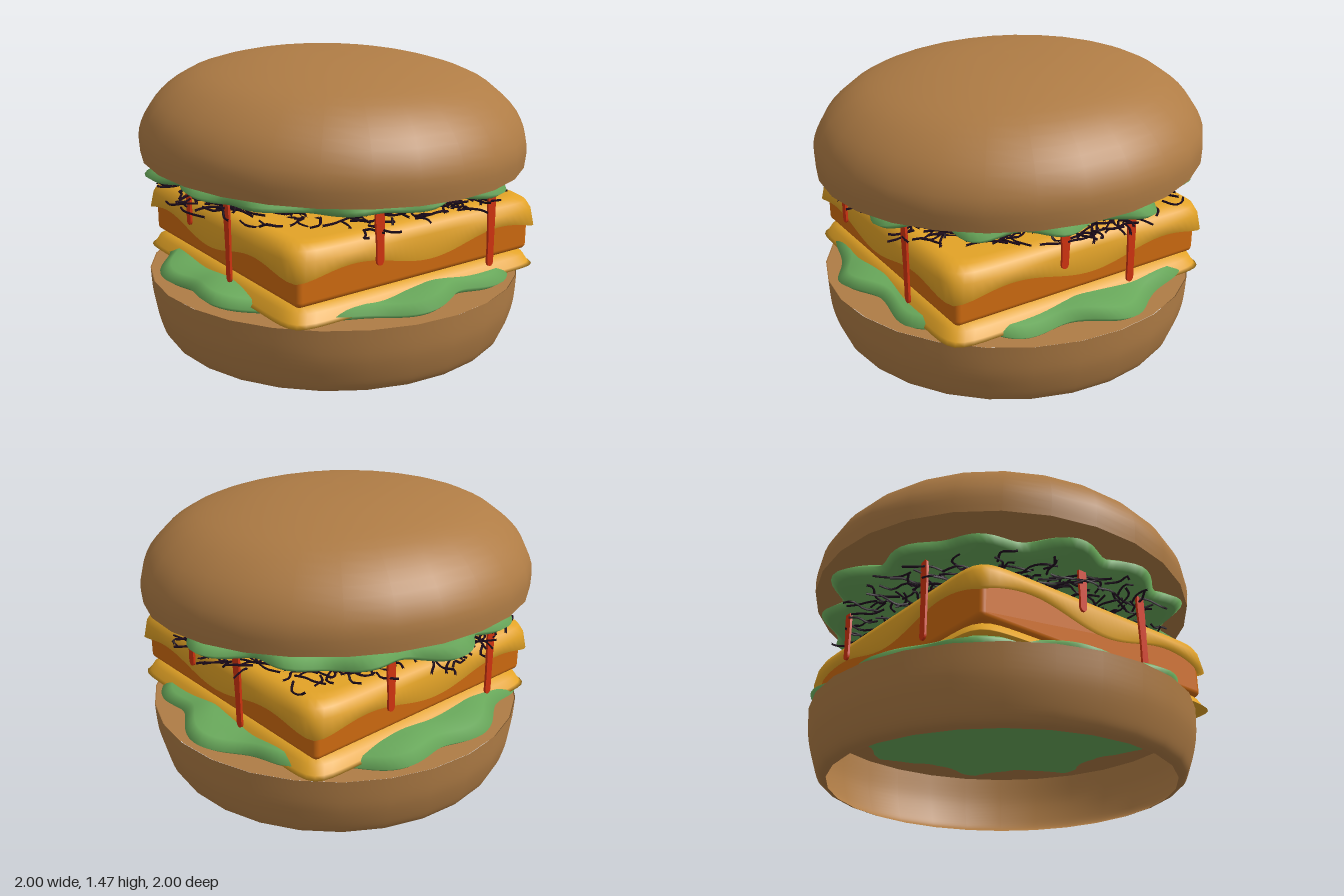
import * as THREE from 'three';
import { RoundedBoxGeometry } from 'three/addons/geometries/RoundedBoxGeometry.js';

const mat = (name, color, side = THREE.FrontSide) => {
  const m = new THREE.MeshStandardMaterial({ color, side });
  m.name = name;
  return m;
};

// Skin of closed loops running from the top centre outward and down.
function loft(rows, n, point) {
  const pos = [], index = [];
  for (let i = 0; i < rows; i++) {
    for (let j = 0; j < n; j++) pos.push(...point(i, (j / n) * Math.PI * 2));
  }
  for (let i = 0; i < rows - 1; i++) {
    for (let j = 0; j < n; j++) {
      const a = i * n + j, b = i * n + (j + 1) % n;
      index.push(a, b, a + n, b, b + n, a + n);
    }
  }
  const g = new THREE.BufferGeometry();
  g.setAttribute('position', new THREE.Float32BufferAttribute(pos, 3));
  g.setIndex(index);
  g.computeVertexNormals();
  return g;
}

// Ruffled leaf: [fraction of outline radius, height, share of the edge wave]
function lettuceGeometry(amp, lobes, phase) {
  const rows = [[0.01, 0.05, 0], [0.6, 0.05, 0], [0.82, 0.045, 0.6], [0.94, 0.035, 1], [1, 0, 1],
    [0.96, -0.03, 0.8], [0.88, -0.042, 0.2], [0.6, -0.05, 0], [0.01, -0.05, 0]];
  return loft(rows.length, 160, (i, t) => {
    const [f, y, w] = rows[i];
    const wave = Math.cos(lobes * t + phase) + 0.5 * Math.cos((lobes - 5) * t + 1);
    const r = f * (0.92 + amp * wave * Math.min(1, w + 0.3));
    return [r * Math.cos(t), y + w * 0.014 * Math.sin((lobes - 2) * t + phase), r * Math.sin(t)];
  });
}

// Square slice folded over its edges, with a waved hem
function cheeseGeometry(top, hem, wave) {
  const rows = [[0.01, top], [0.66, top], [0.7, top - 0.006], [0.735, top - 0.03], [0.755, top - 0.07],
    [0.77, null], [0.74, null], [0.725, top - 0.06], [0.68, top - 0.03], [0.01, top - 0.03]];
  return loft(rows.length, 160, (i, t) => {
    const [s, y] = rows[i], c = Math.cos(t), d = Math.sin(t);
    const r = s / Math.pow(Math.abs(c) ** 14 + Math.abs(d) ** 14, 1 / 14);
    const x = r * c, z = r * d;
    const u = Math.min(Math.abs(x), Math.abs(z));
    const edge = hem - wave * Math.cos(7 * u);
    return [x, y === null ? edge : Math.max(y, edge), z];
  });
}

// Flat drip hanging down from y = 0, with a rounded, heavier end
function dripGeometry(length) {
  const s = new THREE.Shape();
  s.moveTo(-0.022, 0);
  s.bezierCurveTo(-0.03, -0.08, -0.012, -length * 0.5, -0.02, -length + 0.03);
  s.quadraticCurveTo(-0.02, -length, 0, -length);
  s.quadraticCurveTo(0.02, -length, 0.02, -length + 0.03);
  s.bezierCurveTo(0.02, -length * 0.5, 0.03, -0.08, 0.022, 0);
  s.quadraticCurveTo(0, 0.03, -0.022, 0);
  return new THREE.ExtrudeGeometry(s, { depth: 0.012, bevelEnabled: false, curveSegments: 8 });
}

export function createModel() {
  const model = new THREE.Group();
  model.name = 'burger';
  const bun = mat('bun brown', 0xaf7c45, THREE.DoubleSide);
  const green = mat('lettuce green', 0x69a95b);
  const yellow = mat('cheese yellow', 0xe3a326);
  const orange = mat('patty orange', 0xcf6b10);
  const purple = mat('dark shreds', 0x1c0a1c);
  const red = mat('sauce red', 0xd23410);

  const add = (name, geometry, material, parent = model) => {
    const m = new THREE.Mesh(geometry, material);
    m.name = name;
    parent.add(m);
    return m;
  };
  const lathe = (pts) => new THREE.LatheGeometry(
    new THREE.SplineCurve(pts.map(p => new THREE.Vector2(...p))).getPoints(20), 28);

  // Bottom bun: hollow wall open below, with a flat rim on top
  add('bottomBunWall', lathe([[0.87, 0], [0.91, 0.02], [0.94, 0.08], [0.97, 0.2], [0.98, 0.345]]), bun)
    .position.z = 0.01;
  const rim = add('bottomBunTop', new THREE.RingGeometry(0.6, 0.975, 28), bun);
  rim.rotation.x = -Math.PI / 2;
  rim.position.set(0, 0.342, 0.01);

  // Lettuce leaves
  add('lowerLettuce', lettuceGeometry(0.035, 11, 0.6), green).position.y = 0.382;
  const upper = add('upperLettuce', lettuceGeometry(0.045, 14, 2), green);
  upper.position.y = 0.885;
  upper.rotation.x = 0.015;

  // Square fillings, set slightly forward
  const filling = new THREE.Group();
  filling.name = 'filling';
  filling.position.z = 0.03;
  model.add(filling);
  add('lowerCheese', cheeseGeometry(0.462, 0.378, 0.003), yellow, filling);
  add('patty', new RoundedBoxGeometry(1.43, 0.265, 1.43, 4, 0.03), orange, filling).position.y = 0.588;
  add('upperCheese', cheeseGeometry(0.75, 0.6, 0.035), yellow, filling);

  // Sauce drips: [side turn, offset along the side, top, length, lean]
  const drips = [[0, -0.32, 0.86, 0.26, 0.03], [0, 0.37, 0.85, 0.4, 0.02],
    [1, -0.17, 0.85, 0.22, 0], [1, 0.22, 0.85, 0.4, 0.02]];
  for (const half of [0, 2]) {
    for (const [turn, x, top, length, lean] of drips) {
      const side = new THREE.Group();
      side.name = 'sauceSide';
      side.rotation.y = (turn + half) * Math.PI / 2;
      filling.add(side);
      const drip = add('sauceDrip', dripGeometry(length), red, side);
      drip.position.set(x, top, 0.772);
      drip.rotation.z = lean;
    }
  }

  // Shredded layer: thin curled strands scattered in a round bed
  let seed = 7;
  const rnd = () => (seed = (seed * 16807) % 2147483647) / 2147483647;
  const shreds = new THREE.Group();
  shreds.name = 'shreds';
  model.add(shreds);
  for (let i = 0; i < 420; i++) {
    const t = rnd() * Math.PI * 2, r = 0.84 * Math.sqrt(0.2 + 0.8 * rnd());
    const y = 0.745 + 0.085 * rnd(), len = 0.1 + 0.12 * rnd();
    const points = [];
    let heading = rnd() * Math.PI * 2, x = r * Math.cos(t), z = r * Math.sin(t);
    for (let k = 0; k < 4; k++) {
      points.push(new THREE.Vector3(x, y + (rnd() - 0.5) * 0.025, z));
      heading += (rnd() - 0.5) * 1.6;
      x += Math.cos(heading) * len / 3;
      z += Math.sin(heading) * len / 3;
      const far = Math.hypot(x, z);
      if (far > 0.92) { x *= 0.92 / far; z *= 0.92 / far; }
    }
    add('shred', new THREE.TubeGeometry(new THREE.CatmullRomCurve3(points), 7, 0.006, 4), purple, shreds);
  }

  // Top bun: dome with a flat underside, tipped forward
  const topBun = new THREE.Group();
  topBun.name = 'topBun';
  topBun.position.y = 0.947;
  topBun.rotation.x = 0.05;
  model.add(topBun);
  add('topBunDome', lathe([[0.995, 0], [0.995, 0.13], [0.92, 0.27], [0.76, 0.395], [0.53, 0.47],
    [0.27, 0.51], [0, 0.52]]), bun, topBun);
  const base = add('topBunBase', new THREE.CircleGeometry(0.995, 28), bun, topBun);
  base.rotation.x = Math.PI / 2;

  return model;
}
